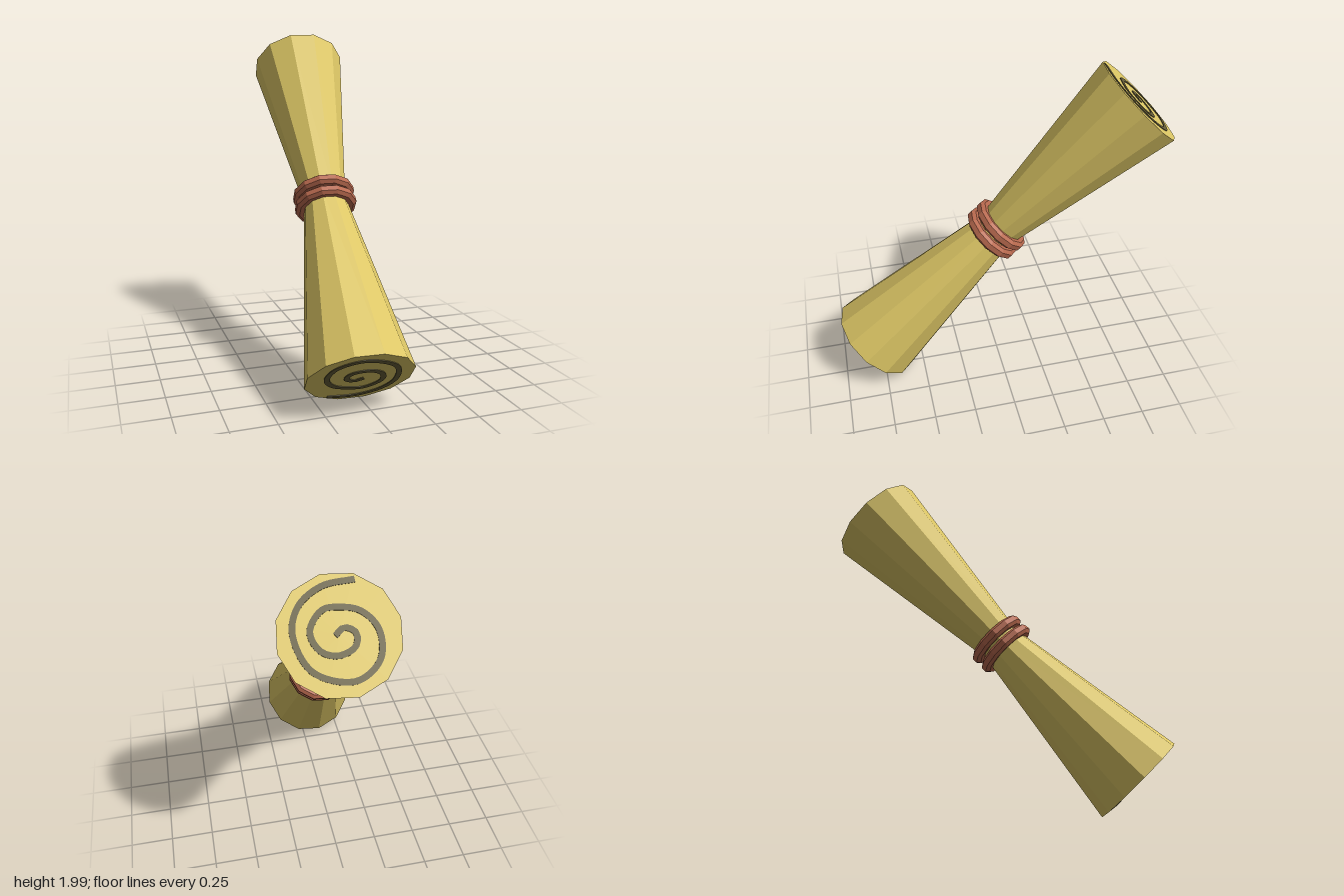
import * as THREE from 'three';

const SIDES = 12;
const PHASE = THREE.MathUtils.degToRad(7.6);

const straw = new THREE.MeshStandardMaterial({ color: 0xdcc665 });
straw.name = 'straw yellow';
const ink = new THREE.MeshStandardMaterial({ color: 0x645c38 });
ink.name = 'dark olive';
const cord = new THREE.MeshStandardMaterial({ color: 0xb96a4f });
cord.name = 'terracotta';

function addMesh(parent, name, geometry, material) {
  // unshared vertices give every facet its own flat normal
  const flat = geometry.index ? geometry.toNonIndexed() : geometry;
  flat.computeVertexNormals();
  const mesh = new THREE.Mesh(flat, material);
  mesh.name = name;
  parent.add(mesh);
  return mesh;
}

// Thin spiral ribbon lying in the local xz plane, facing +y
function spiralGeometry() {
  // [angle in degrees, radius]
  const polar = [[130, 0.04], [180, 0.075], [225, 0.088], [285, 0.095], [330, 0.115],
    [375, 0.135], [425, 0.138], [460, 0.128], [500, 0.148], [540, 0.18], [580, 0.212],
    [620, 0.22], [675, 0.208], [730, 0.212], [765, 0.226], [800, 0.237], [835, 0.268]];
  const points = [new THREE.Vector3(0.02, 0, 0)];
  for (const [deg, r] of polar) {
    const a = THREE.MathUtils.degToRad(deg);
    points.push(new THREE.Vector3(r * Math.cos(a), -r * Math.sin(a), 0));
  }
  const curve = new THREE.CatmullRomCurve3(points);
  const left = [], right = [], steps = 90, half = 0.015;
  for (let i = 0; i <= steps; i++) {
    const p = curve.getPointAt(i / steps);
    const t = curve.getTangentAt(i / steps);
    left.push(new THREE.Vector2(p.x - t.y * half, p.y + t.x * half));
    right.push(new THREE.Vector2(p.x + t.y * half, p.y - t.x * half));
  }
  const shape = new THREE.Shape([...left, ...right.reverse()]);
  return new THREE.ExtrudeGeometry(shape, { depth: 0.004, bevelEnabled: false }).rotateX(-Math.PI / 2);
}

// Faceted ring with a bevelled band section
function ringGeometry() {
  const profile = [[0.125, -0.026], [0.163, -0.032], [0.184, -0.016], [0.184, 0.016],
    [0.163, 0.032], [0.125, 0.026], [0.125, -0.026]].map(([r, y]) => new THREE.Vector2(r, y));
  return new THREE.LatheGeometry(profile, SIDES, PHASE);
}

export function createModel() {
  const model = new THREE.Group();
  model.name = 'tiedBundle';

  const bundle = new THREE.Group();
  bundle.name = 'bundle';
  const axis = new THREE.Vector3(0.073, 0.796, -0.78);
  const halfLength = axis.length();
  bundle.quaternion.setFromUnitVectors(new THREE.Vector3(0, 1, 0), axis.normalize());
  bundle.position.y = 1;
  model.add(bundle);

  // Flared body, narrow at the waist, with flat ends
  const body = [[0, -halfLength], [0.293, -halfLength], [0.125, 0], [0.293, halfLength], [0, halfLength]]
    .map(([r, y]) => new THREE.Vector2(r, y));
  addMesh(bundle, 'flaredBody', new THREE.LatheGeometry(body, SIDES, PHASE), straw);

  // Two binding rings round the waist
  for (const side of [1, -1]) {
    const ring = addMesh(bundle, side > 0 ? 'upperBinding' : 'lowerBinding', ringGeometry(), cord);
    ring.position.y = side * 0.039;
  }

  // A rolled spiral on each end
  for (const side of [1, -1]) {
    const spiral = addMesh(bundle, side > 0 ? 'upperSpiral' : 'lowerSpiral', spiralGeometry(), ink);
    spiral.position.y = side * halfLength;
    if (side < 0) spiral.rotation.x = Math.PI;
  }

  return model;
}
